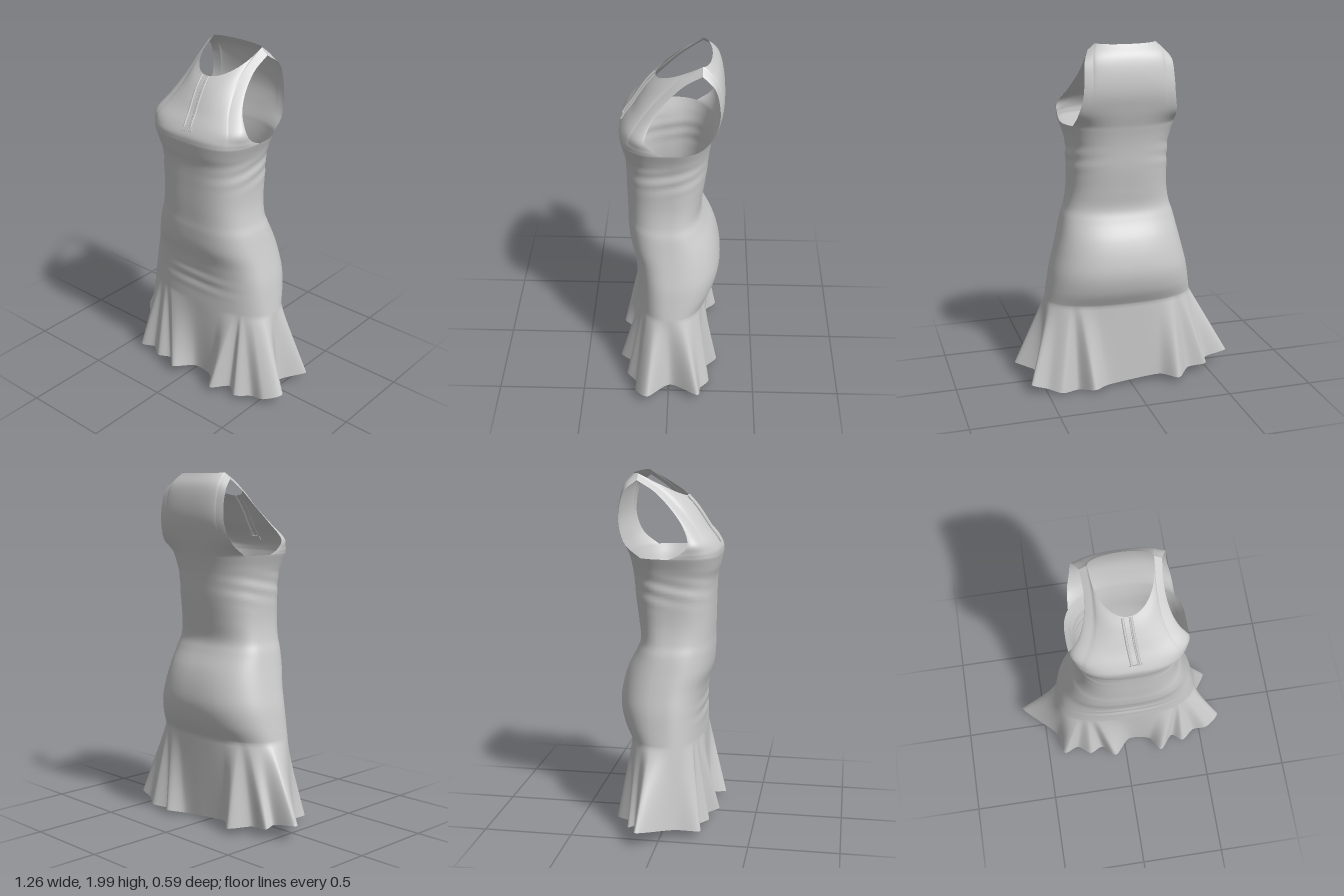
import * as THREE from 'three';
import { mergeGeometries, mergeVertices } from 'three/addons/utils/BufferGeometryUtils.js';

const CX = 0.03; // garment axis, slightly off centre
const V = (x, y, z) => new THREE.Vector3(x, y, z);
const spline = pts => new THREE.CatmullRomCurve3(pts.map(p => V(...p)), false, 'catmullrom', 0.5);
const { lerp, degToRad } = THREE.MathUtils;
const material = new THREE.MeshStandardMaterial({ color: 0xcccccc, side: THREE.DoubleSide });

// Sheet of points fn(i, j); i runs round the body, j runs upwards
function sheet(nu, nv, closed, fn) {
  const cols = closed ? nu : nu + 1, pos = [], idx = [];
  for (let j = 0; j <= nv; j++)
    for (let i = 0; i < cols; i++) pos.push(...fn(i, j).toArray());
  for (let j = 0; j < nv; j++)
    for (let i = 0; i < nu; i++) {
      const a = j * cols + i, b = j * cols + (i + 1) % cols;
      idx.push(a, a + cols, b, b, a + cols, b + cols);
    }
  const g = new THREE.BufferGeometry();
  g.setAttribute('position', new THREE.Float32BufferAttribute(pos, 3));
  g.setIndex(idx);
  return g;
}

// Body sections from thigh to underarm: half width, height, front depth, back depth
const sections = [
  [0.435, 0.51, 0.195, -0.222], [0.42, 0.6, 0.193, -0.268], [0.402, 0.7, 0.193, -0.29],
  [0.376, 0.8, 0.205, -0.28], [0.35, 0.9, 0.232, -0.25], [0.325, 1.0, 0.24, -0.2],
  [0.302, 1.07, 0.24, -0.177], [0.286, 1.17, 0.243, -0.187], [0.284, 1.3, 0.245, -0.205],
  [0.285, 1.41, 0.25, -0.215], [0.3, 1.48, 0.267, -0.225], [0.325, 1.55, 0.28, -0.24],
];
const frontProfile = spline(sections.map(s => s.slice(0, 3)));
const backProfile = spline(sections.map(s => [s[3], s[1], 0]));

// Rounded section at profile parameter v and direction a
function ring(v, a) {
  const f = frontProfile.getPoint(v), zb = -backProfile.getPoint(v).x;
  const c = Math.cos(a), s = Math.sin(a), n = s > 0 ? 2.5 + 0.5 * v : 2.5;
  let r = (Math.abs(c) ** n + Math.abs(s) ** n) ** (-1 / n);
  // soft drag wrinkles at the waist sides and across the thighs
  const waist = Math.exp(-(((f.y - 1.36) / 0.07) ** 2)) * c * c;
  const thigh = Math.exp(-(((f.y - 0.67) / 0.06) ** 2)) * Math.max(0, s) ** 8;
  r += 0.014 * waist * Math.sin(f.y * 75 + 4 * s) + 0.025 * thigh * Math.sin(f.y * 75);
  return V(CX + f.x * r * c, f.y, (s > 0 ? f.z : zb) * r * s);
}

// Hem ridges and valleys: x, y, z and the direction in degrees where each fold starts
const hem = [
  [0.5, 0.05, -0.01, 0], [0.63, 0.08, 0.115, 22], [0.55, 0.05, 0.19, 36], [0.46, 0.03, 0.19, 44],
  [0.38, 0.03, 0.25, 47], [0.31, 0.04, 0.21, 50], [0.23, 0.04, 0.295, 55], [0.16, 0.05, 0.21, 68],
  [0.03, 0.05, 0.195, 90], [-0.07, 0.05, 0.29, 115], [-0.15, 0.04, 0.22, 120], [-0.23, 0.04, 0.25, 124],
  [-0.31, 0.035, 0.195, 128], [-0.4, 0.035, 0.22, 133], [-0.44, 0.05, 0.08, 155],
  [-0.63, 0.1, -0.1, 195], [-0.49, 0.08, -0.13, 210], [-0.47, 0.06, -0.18, 222],
  [-0.36, 0.05, -0.18, 228], [-0.27, 0.04, -0.28, 233], [-0.17, 0.045, -0.21, 245],
  [0.03, 0.03, -0.21, 270], [0.15, 0.02, -0.22, 292], [0.24, 0.03, -0.285, 305],
  [0.32, 0.005, -0.2, 310], [0.42, 0.015, -0.24, 315], [0.5, 0.03, -0.19, 325], [0.59, 0.06, -0.17, 340],
];
const hemCurve = new THREE.CatmullRomCurve3(hem.map(h => V(h[0], h[1], h[2])), true, 'catmullrom', 0.4);

// Column directions shared by the skirt, body and upper panels
const PER = 8;
const angles = hem.flatMap((h, k) => {
  const next = k + 1 < hem.length ? hem[k + 1][3] : 360;
  return Array.from({ length: PER }, (_, i) => lerp(h[3], next, i / PER));
});

function skirtAndWaist() {
  const nu = angles.length, skirtRows = 24, bodyRows = 76;
  return sheet(nu, skirtRows + bodyRows, true, (i, j) => {
    const a = degToRad(angles[i]);
    if (j >= skirtRows) return ring((j - skirtRows) / bodyRows, a);
    const t = 1 - j / skirtRows;
    const p = ring(0, a), h = hemCurve.getPoint(i / nu);
    return V(lerp(p.x, h.x, t), lerp(p.y, h.y, t), lerp(p.z, h.z, t));
  });
}

// Centre lines and armhole edges of the upper panels
const frontCentre = spline([[0, 1.55, 0.28], [0, 1.59, 0.277], [0, 1.64, 0.25], [0, 1.7, 0.205],
  [0, 1.76, 0.167], [0, 1.82, 0.125], [0, 1.87, 0.08]]);
const frontEdge = spline([[0.325, 1.55, 0.02], [0.322, 1.58, 0.085], [0.313, 1.635, 0.125],
  [0.255, 1.72, 0.09], [0.217, 1.81, 0.02], [0.203, 1.9, -0.07], [0.21, 1.965, -0.17]]);
const backCentre = spline([[0, 1.55, -0.24], [0, 1.64, -0.268], [0, 1.74, -0.29],
  [0, 1.84, -0.287], [0, 1.93, -0.265], [0, 1.995, -0.22]]);
const backEdge = spline([[0.3, 1.55, -0.15], [0.285, 1.62, -0.23], [0.262, 1.72, -0.265],
  [0.252, 1.82, -0.262], [0.243, 1.91, -0.235], [0.21, 1.965, -0.17]]);

// Panel point: s from -1 to 1 across, v from underarm to neckline and shoulder seam
function panelPoint(centre, edge, s, v) {
  const c = centre.getPoint(v), e = edge.getPoint(v), q = Math.abs(s);
  const scoop = q < 0.8 ? 1 - Math.sqrt(1 - (q / 0.8) ** 2) : 1;
  const bump = 0.035 * Math.min(1, (1 - q) / 0.2) * scoop * v ** 3;
  const f = lerp(q ** 3.3, scoop, v * v);
  return V(CX + s * e.x, lerp(c.y, e.y, f) + bump, lerp(c.z, e.z, f));
}

// Upper panel growing from the underarm section between two directions
function panel(centre, edge, from, to) {
  const cols = angles.filter(a => a >= from && a <= to).map(a => ring(1, degToRad(a)));
  const x0 = cols[0].x, x1 = cols[cols.length - 1].x, side = Math.sign(x0 - x1), nv = 40;
  return sheet(cols.length - 1, nv, false, (i, j) => {
    const s = side * (1 - 2 * (cols[i].x - x0) / (x1 - x0)), v = j / nv;
    const join = cols[i].clone().sub(panelPoint(centre, edge, s, 0));
    return panelPoint(centre, edge, s, v).addScaledVector(join, (1 - v) ** 3);
  });
}

// Skirt, waist, front and back welded into one smooth shell
function dressShell() {
  const geometry = mergeVertices(mergeGeometries([
    skirtAndWaist(),
    panel(frontCentre, frontEdge, 4, 176),
    panel(backCentre, backEdge, 212, 328),
  ]), 1e-4);
  geometry.computeVertexNormals();
  const mesh = new THREE.Mesh(geometry, material);
  mesh.name = 'dressShell';
  return mesh;
}

// Half-zip placket: two raised rails, a row of teeth and a bottom stop
function placket() {
  const group = new THREE.Group();
  group.name = 'zipPlacket';
  const add = (name, geometry) => {
    const m = new THREE.Mesh(geometry, material);
    m.name = name;
    group.add(m);
    return m;
  };
  const line = (x, lift) => {
    const pts = [];
    for (let k = 0; k <= 8; k++) {
      const v = lerp(0.3, 1, k / 8), p = frontCentre.getPoint(v);
      pts.push([x + 0.04 * (1 - v) ** 1.5, p.y, p.z + lift]);
    }
    return spline(pts);
  };
  for (const x of [0, 0.045])
    add('placketRail', new THREE.TubeGeometry(line(x, 0.004), 24, 0.007, 6));
  add('zipTeeth', new THREE.TubeGeometry(line(0.036, 0.003), 24, 0.005, 5));
  const stop = add('placketStop', new THREE.BoxGeometry(0.07, 0.025, 0.012));
  stop.position.set(0.045, 1.625, 0.262);
  stop.rotation.set(-0.55, 0, 0.08);
  return group;
}

export function createModel() {
  const group = new THREE.Group();
  group.name = 'sleevelessDress';
  group.add(dressShell(), placket());
  return group;
}
